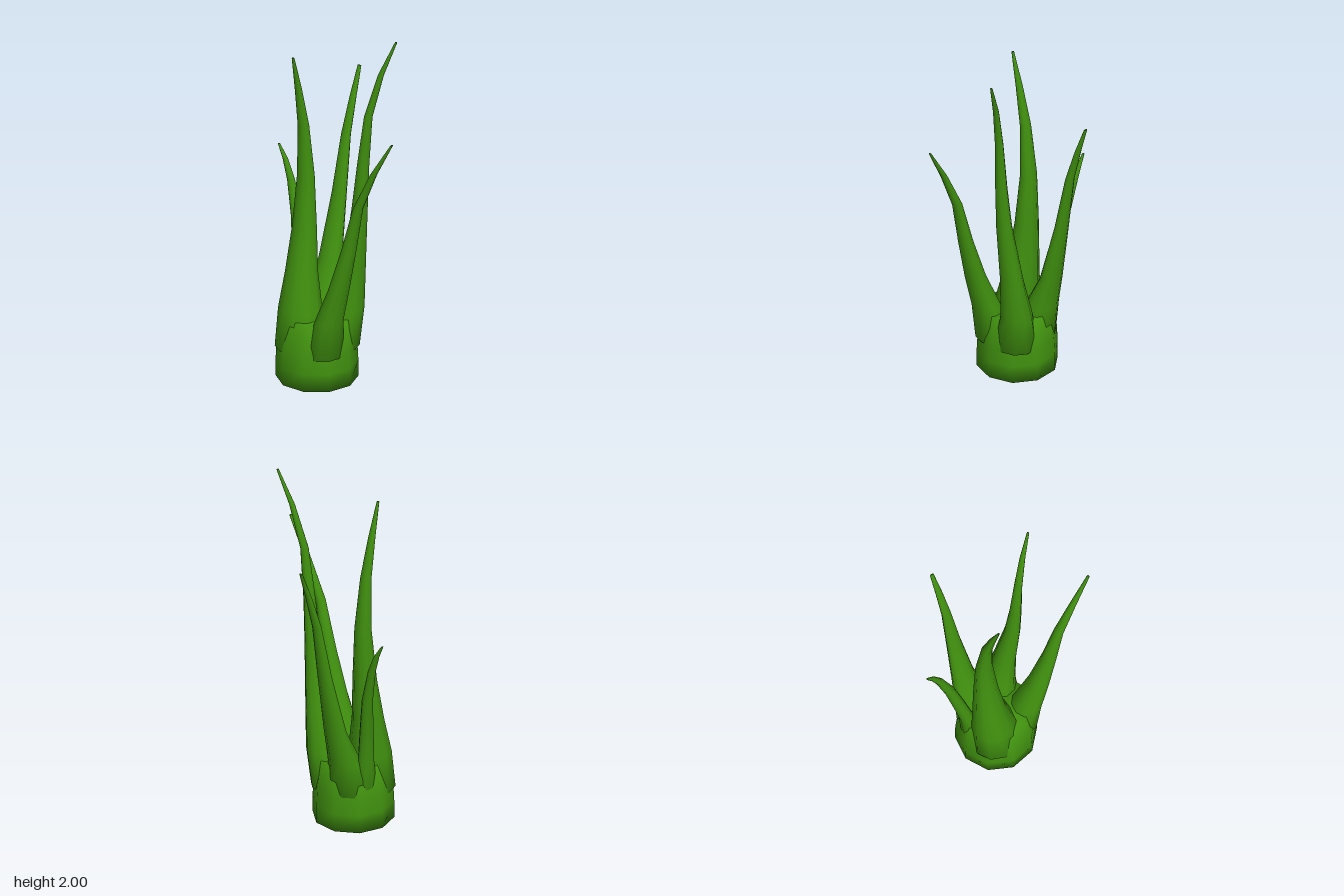
import * as THREE from 'three';

const leafGreen = new THREE.MeshStandardMaterial({ color: 0x40900f });
leafGreen.name = 'leafGreen';

// Closed smooth skin over elliptical rings, each row = [y, x, z, radiusX, radiusZ]
function loft(name, rows, sides) {
  const pos = [], index = [];
  for (const [y, x, z, rx, rz] of rows) {
    for (let i = 0; i < sides; i++) {
      const a = (i / sides) * Math.PI * 2;
      pos.push(x + rx * Math.cos(a), y, z + rz * Math.sin(a));
    }
  }
  for (let r = 0; r < rows.length - 1; r++) {
    for (let i = 0; i < sides; i++) {
      const a = r * sides + i, b = r * sides + (i + 1) % sides;
      index.push(a, a + sides, b, b, a + sides, b + sides);
    }
  }
  // End caps share the ring vertices so shading rolls over the rim
  const last = rows.length - 1, bottom = rows.length * sides, top = bottom + 1;
  for (const r of [0, last]) pos.push(rows[r][1], rows[r][0], rows[r][2]);
  for (let i = 0; i < sides; i++) {
    const j = (i + 1) % sides;
    index.push(bottom, i, j, top, last * sides + j, last * sides + i);
  }
  const geo = new THREE.BufferGeometry();
  geo.setAttribute('position', new THREE.Float32BufferAttribute(pos, 3));
  geo.setIndex(index);
  geo.computeVertexNormals();
  const mesh = new THREE.Mesh(geo, leafGreen);
  mesh.name = name;
  return mesh;
}

export function createModel() {
  const plant = new THREE.Group();
  plant.name = 'grassTuft';

  // Ten-sided stump the blades grow from
  plant.add(loft('base', [
    [0, -0.11, 0.12, 0.22, 0.22],
    [0.1, -0.11, 0.12, 0.22, 0.22],
    [0.2, -0.11, 0.12, 0.215, 0.215],
    [0.36, -0.105, 0.11, 0.185, 0.18],
  ], 10));

  // Curved tapering blades
  const blades = {
    tallBlade: [
      [0.18, -0.02, 0.05, 0.11, 0.12],
      [0.4, 0.015, 0.01, 0.085, 0.09],
      [0.65, 0.055, 0.01, 0.06, 0.065],
      [1.0, 0.1, 0.022, 0.043, 0.043],
      [1.25, 0.122, 0.022, 0.033, 0.033],
      [1.55, 0.15, 0.012, 0.022, 0.024],
      [1.8, 0.21, -0.02, 0.016, 0.016],
      [2.0, 0.285, -0.055, 0.006, 0.007],
    ],
    frontBlade: [
      [0.18, -0.17, 0.19, 0.14, 0.125],
      [0.4, -0.18, 0.175, 0.122, 0.11],
      [0.6, -0.19, 0.15, 0.09, 0.085],
      [0.85, -0.19, 0.125, 0.07, 0.06],
      [1.15, -0.19, 0.112, 0.05, 0.042],
      [1.45, -0.19, 0.133, 0.032, 0.028],
      [1.68, -0.19, 0.178, 0.02, 0.018],
      [1.88, -0.19, 0.225, 0.008, 0.006],
    ],
    backBlade: [
      [0.18, -0.16, 0.06, 0.13, 0.13],
      [0.4, -0.17, -0.005, 0.1, 0.08],
      [0.6, -0.168, -0.075, 0.07, 0.05],
      [0.95, -0.166, -0.15, 0.045, 0.032],
      [1.28, -0.165, -0.21, 0.028, 0.022],
      [1.48, -0.163, -0.27, 0.02, 0.015],
      [1.64, -0.162, -0.325, 0.012, 0.006],
    ],
    leftBlade: [
      [0.18, -0.01, 0.19, 0.1, 0.11],
      [0.4, 0.04, 0.21, 0.072, 0.082],
      [0.6, 0.11, 0.22, 0.055, 0.06],
      [0.85, 0.18, 0.225, 0.04, 0.042],
      [1.12, 0.245, 0.228, 0.027, 0.028],
      [1.35, 0.35, 0.228, 0.018, 0.018],
      [1.55, 0.465, 0.222, 0.006, 0.008],
    ],
    rightBlade: [
      [0.2, -0.24, 0.08, 0.06, 0.07],
      [0.4, -0.265, 0.06, 0.04, 0.05],
      [0.62, -0.3, 0.03, 0.035, 0.04],
      [0.82, -0.335, 0.0, 0.03, 0.03],
      [1.02, -0.388, -0.02, 0.022, 0.02],
      [1.13, -0.43, -0.025, 0.015, 0.014],
      [1.205, -0.472, -0.025, 0.005, 0.007],
    ],
  };
  for (const [name, rows] of Object.entries(blades)) plant.add(loft(name, rows, 10));
  return plant;
}
